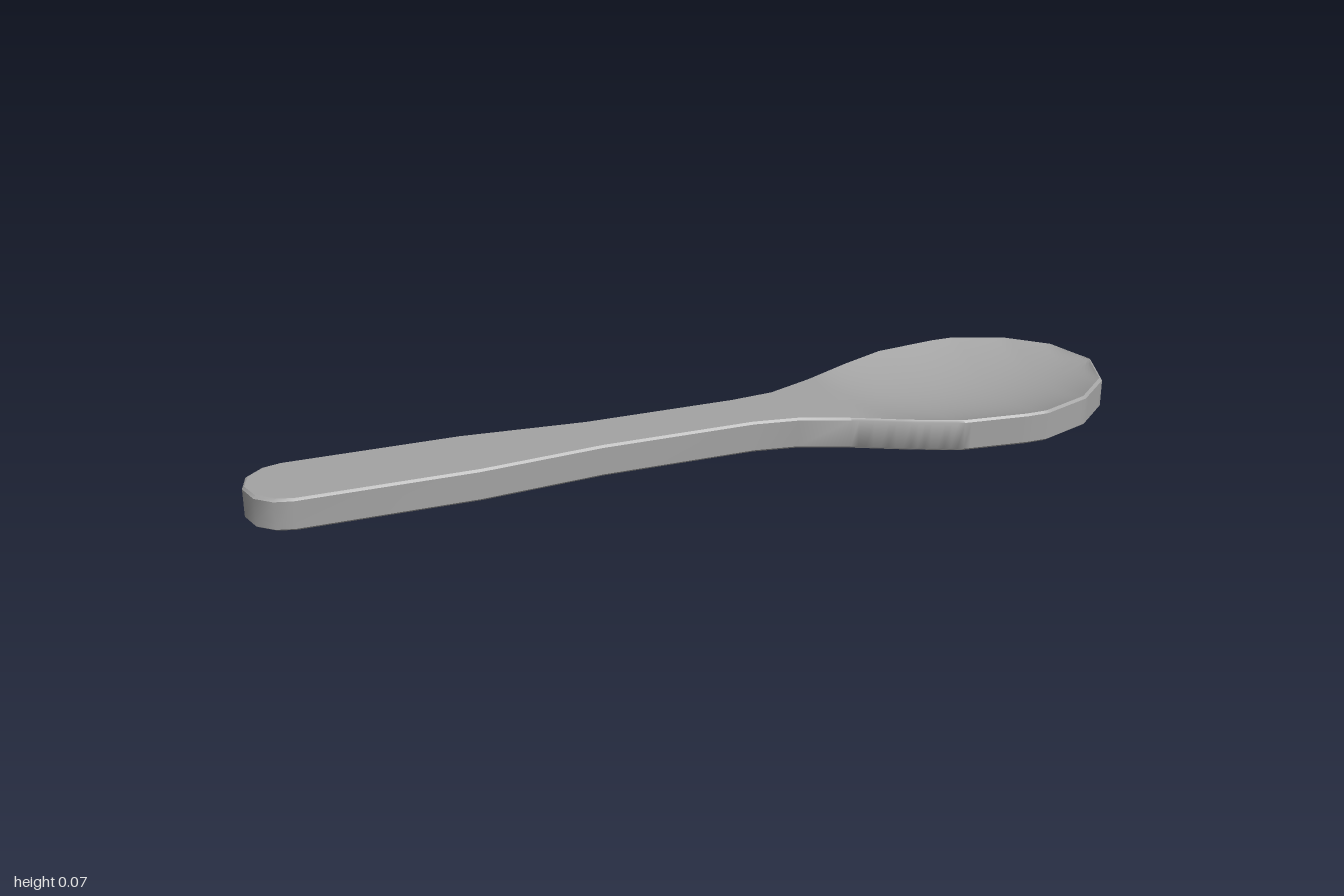
import * as THREE from 'three';
import { toCreasedNormals } from 'three/addons/utils/BufferGeometryUtils.js';

const HEIGHT = 0.073;
const BEVEL = 0.005;

// Half-width of the outline along the length: [x, halfWidth]
const OUTLINE = [
  [-1, 0], [-0.985, 0.053], [-0.95, 0.083], [-0.91, 0.093], [-0.52, 0.093],
  [-0.38, 0.081], [-0.24, 0.069], [0.11, 0.069], [0.21, 0.081], [0.32, 0.122],
  [0.44, 0.178], [0.55, 0.222], [0.7, 0.239], [0.75, 0.239], [0.87, 0.197],
  [0.96, 0.118], [1, 0],
];

// Extra stations are added between outline points where the bowl needs them
function stations() {
  const list = [];
  for (let i = 0; i < OUTLINE.length - 1; i++) {
    const [x0, w0] = OUTLINE[i], [x1, w1] = OUTLINE[i + 1];
    const n = x0 > 0.3 ? Math.ceil((x1 - x0) / 0.015) : 1;
    for (let k = 0; k < n; k++) {
      const t = k / n;
      list.push([x0 + (x1 - x0) * t, w0 + (w1 - w0) * t]);
    }
  }
  list.push(OUTLINE[OUTLINE.length - 1]);
  return list;
}

// Depth of the bowl at x, and at t from -1 to 1 across; zero along the rim
function bowlDepth(x, t) {
  const u = (x - 0.67) / 0.33;
  return 0.05 * Math.max(0, 1 - u * u) * (1 - t * t);
}

// Closed cross-section: bottom, bevelled sides, then the top from +z to -z
function section([x, w]) {
  const inner = Math.max(0, w - BEVEL);
  const xi = x * (1 - BEVEL);
  const shift = x < 0.2 ? -0.003 : 0;
  const loop = [];
  const add = (px, y, z) => loop.push(new THREE.Vector3(px, y, z + shift));
  add(xi, 0, -inner);
  add(xi, 0, inner);
  add(x, BEVEL, w);
  add(x, HEIGHT - BEVEL, w);
  const n = 28;
  for (let k = 0; k <= n; k++) {
    const t = 1 - 2 * k / n;
    add(xi, HEIGHT - bowlDepth(xi, t), inner * t);
  }
  add(x, HEIGHT - BEVEL, -w);
  add(x, BEVEL, -w);
  return loop;
}

// Skin neighbouring sections, leaving out collapsed triangles at the tips
function loft(sections) {
  const positions = [];
  const tri = new THREE.Triangle();
  const face = (a, b, c) => {
    if (tri.set(a, b, c).getArea() < 1e-9) return;
    for (const p of [a, b, c]) positions.push(p.x, p.y, p.z);
  };
  for (let i = 0; i < sections.length - 1; i++) {
    const s = sections[i], t = sections[i + 1];
    for (let j = 0; j < s.length; j++) {
      const k = (j + 1) % s.length;
      face(s[j], t[j], t[k]);
      face(s[j], t[k], s[k]);
    }
  }
  const geometry = new THREE.BufferGeometry();
  geometry.setAttribute('position', new THREE.Float32BufferAttribute(positions, 3));
  // Sides blend smoothly around the outline; the bevels stay crisp
  return toCreasedNormals(geometry, 0.68);
}

export function createModel() {
  const group = new THREE.Group();
  group.name = 'spoon';
  const material = new THREE.MeshStandardMaterial({ color: 0xa3a3a3 });
  const body = new THREE.Mesh(loft(stations().map(section)), material);
  body.name = 'handleAndBowl';
  group.add(body);
  return group;
}
